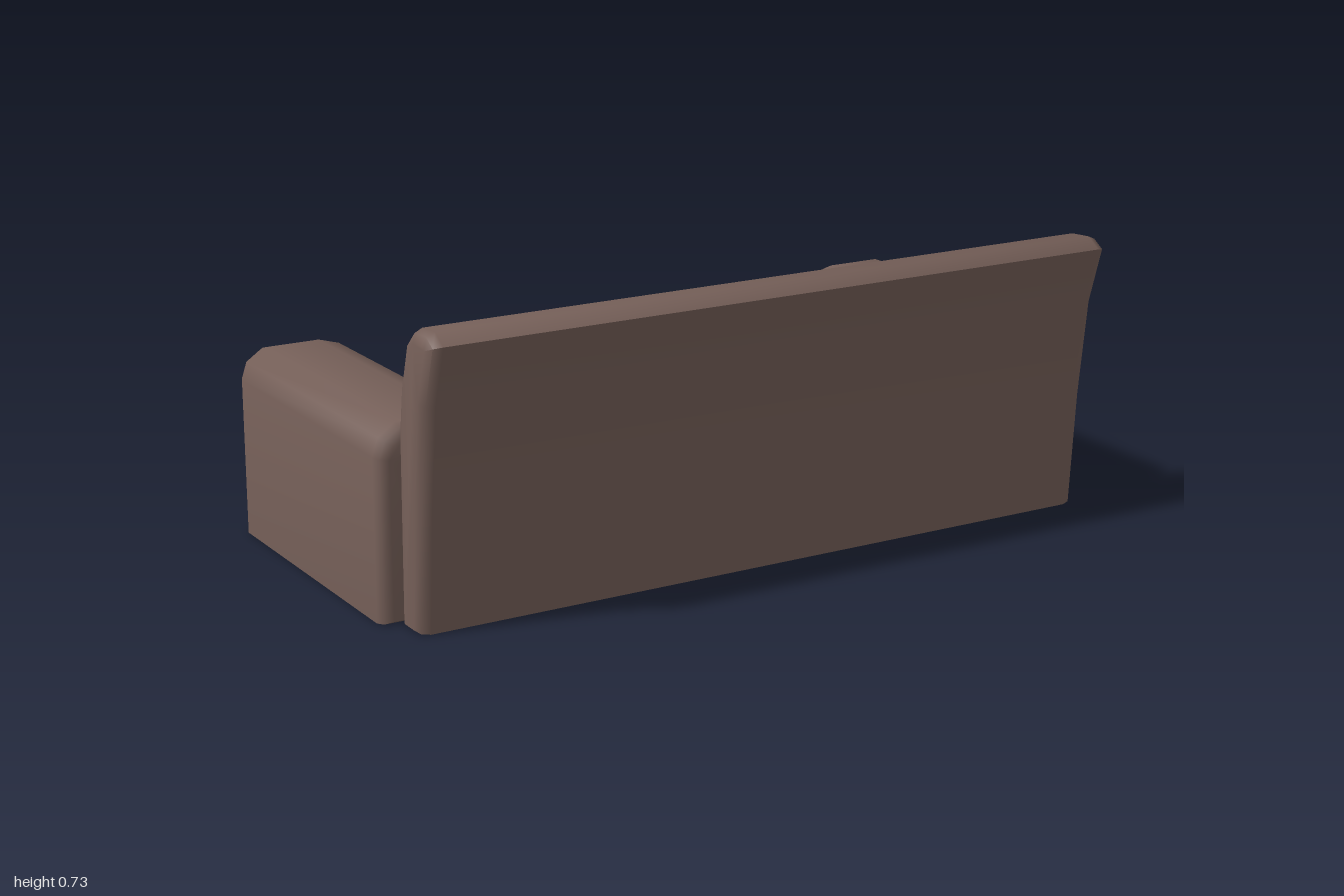
import * as THREE from 'three';
import { toCreasedNormals } from 'three/addons/utils/BufferGeometryUtils.js';

const material = new THREE.MeshStandardMaterial({ color: 0x755f58 });

// Extrudes an outline between two positions with softened ends; the underside stays near the floor.
function softExtrude(points, from, to, bevel, alongX) {
  const shape = new THREE.Shape(points.map(([a, b]) => new THREE.Vector2(alongX ? -a : a, b)));
  const geometry = new THREE.ExtrudeGeometry(shape, {
    depth: to - from - 2 * bevel,
    bevelThickness: bevel, bevelSize: bevel, bevelOffset: -bevel, bevelSegments: 2,
  });
  geometry.translate(0, 0, from + bevel);
  if (alongX) geometry.rotateY(Math.PI / 2);
  const pos = geometry.attributes.position;
  for (let i = 0; i < pos.count; i++) {
    const y = pos.getY(i);
    if (y < 0.05) pos.setY(i, y * 0.25);
  }
  return toCreasedNormals(geometry, 0.9);
}

export function createModel() {
  const model = new THREE.Group();
  const sofa = new THREE.Group();
  sofa.name = 'sofa';
  sofa.rotation.y = -0.019; // stands slightly turned
  model.add(sofa);

  const add = (name, geometry) => {
    const mesh = new THREE.Mesh(geometry, material);
    mesh.name = name;
    sofa.add(mesh);
  };

  // Arms: C-shaped section with a rolled top and a foot reaching under the seat (x, y)
  const arm = [
    [0.99, 0], [0.99, 0.4], [0.975, 0.445], [0.93, 0.476], [0.78, 0.476], [0.725, 0.46],
    [0.692, 0.42], [0.7, 0.385], [0.735, 0.35], [0.83, 0.34], [0.862, 0.3], [0.862, 0.18],
    [0.83, 0.14], [0.57, 0.13], [0.57, 0],
  ];
  for (const [side, name] of [[1, 'leftArm'], [-1, 'rightArm']]) {
    add(name, softExtrude(arm.map(([x, y]) => [side * x, y]), -0.507, 0.31, 0.03, false));
  }

  // Backrest: leaning section that flares backwards at the top (z, y)
  const back = [
    [0.41, 0], [0.432, 0.3], [0.462, 0.55], [0.508, 0.7], [0.468, 0.726], [0.405, 0.722],
    [0.362, 0.68], [0.328, 0.57], [0.312, 0.46], [0.305, 0],
  ];
  add('backrest', softExtrude(back, -0.945, 0.945, 0.03, true));

  // Seat cushions with a rounded front edge (z, y)
  const cushion = [
    [0.33, 0.345], [-0.455, 0.345], [-0.488, 0.332], [-0.507, 0.3], [-0.514, 0.24],
    [-0.507, 0.17], [-0.488, 0.14], [-0.455, 0.125], [0.33, 0.125],
  ];
  add('rightCushion', softExtrude(cushion, -0.86, -0.005, 0.014, true));
  add('leftCushion', softExtrude(cushion, -0.005, 0.86, 0.014, true));

  // Base between the feet of the arms
  const base = [[0.33, 0], [0.33, 0.14], [-0.47, 0.14], [-0.488, 0.12], [-0.488, 0.02], [-0.475, 0]];
  add('base', softExtrude(base, -0.62, 0.62, 0.006, true));

  return model;
}
